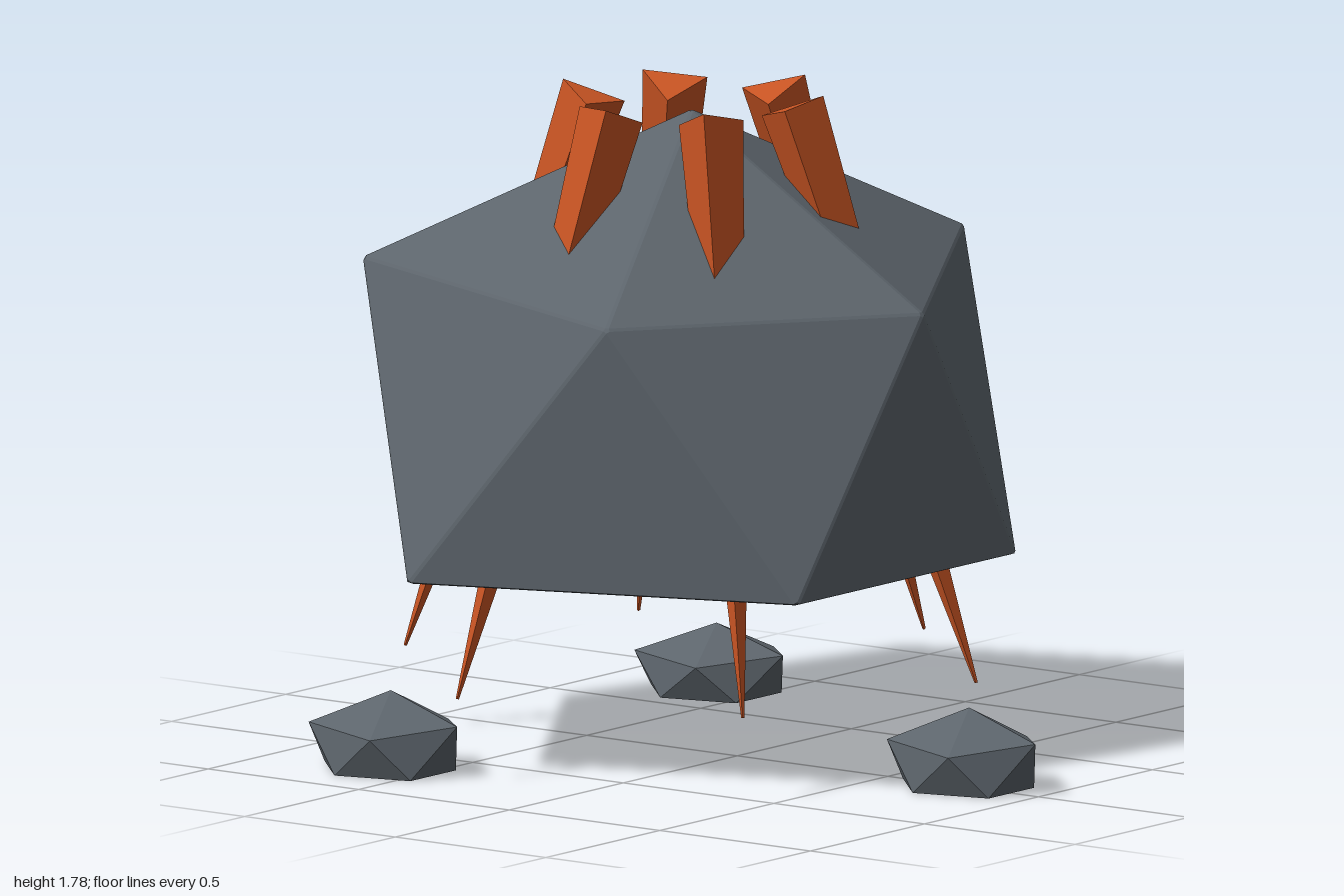
import * as THREE from 'three';
import { ConvexGeometry } from 'three/addons/geometries/ConvexGeometry.js';

const V = (x, y, z) => new THREE.Vector3(x, y, z);

// Stone with an apex, an upper and a lower ring of five; edges get a slight bevel
function stoneGeometry(apex, upper, lower, bevel) {
  const faces = [lower];
  for (let i = 0; i < 5; i++) {
    const j = (i + 1) % 5;
    faces.push([apex, upper[i], upper[j]], [upper[i], lower[i], upper[j]], [lower[i], upper[j], lower[j]]);
  }
  const points = [];
  for (const face of faces) {
    const mid = V(0, 0, 0);
    face.forEach((p) => mid.addScaledVector(p, 1 / face.length));
    face.forEach((p) => points.push(p.clone().lerp(mid, bevel)));
  }
  return new ConvexGeometry(bevel > 0 ? points : [apex, ...upper, ...lower]);
}

export function createModel() {
  const model = new THREE.Group();
  model.name = 'crystalRock';
  const stone = new THREE.MeshStandardMaterial({ color: 0x5c646b, flatShading: true });
  stone.name = 'slateGrey';
  const ember = new THREE.MeshStandardMaterial({ color: 0xc85423, flatShading: true });
  ember.name = 'burntOrange';

  const add = (name, geometry, material) => {
    const mesh = new THREE.Mesh(geometry, material);
    mesh.name = name;
    model.add(mesh);
    return mesh;
  };

  // Main boulder with a flat underside
  const upper = [V(0.61, 1.25, 0), V(0.09, 1.25, 0.69), V(-0.87, 1.31, 0.48), V(-0.87, 1.31, -0.48), V(0.13, 1.32, -0.81)];
  const lower = [V(0.56, 0.535, 0.48), V(-0.45, 0.535, 0.84), V(-1, 0.535, 0), V(-0.43, 0.535, -0.75), V(0.56, 0.535, -0.47)];
  const centre = V(-0.16, 0.535, 0);
  [...upper, ...lower].forEach((p) => p.sub(centre).multiplyScalar(1.01).add(centre));
  add('boulder', stoneGeometry(V(-0.15, 1.725, 0), upper, lower, 0.02), stone);

  // Three-sided shard, its lower end leaning outward; placed by one end
  const up = V(0, 1, 0);
  const shard = (name, rTop, rBottom, length, angle, radius, y, fromTop) => {
    const geometry = new THREE.CylinderGeometry(rTop, rBottom, length, 3, 1, false, -Math.PI / 2);
    geometry.translate(0, fromTop ? -length / 2 : length / 2, 0);
    const mesh = add(name, geometry, ember);
    const tilt = 0.34, c = Math.cos(angle), s = Math.sin(angle);
    mesh.quaternion.setFromUnitVectors(up, V(-c * Math.sin(tilt), Math.cos(tilt), -s * Math.sin(tilt)));
    mesh.position.set(-0.155 + c * radius, y, s * radius);
  };

  // Rings of crown crystals and thin leg spikes
  for (let i = 0; i < 6; i++) {
    const angle = THREE.MathUtils.degToRad(43 + 60 * i);
    shard('crownCrystal', 0.1, 0.07, 0.5, angle, 0.28, 1.745, true);
    shard('legSpike', 0.045, 0.005, 0.5, angle, 0.805, 0.23, false);
  }

  // Small stones around the base
  const pebble = stoneGeometry(V(0, 0.215, 0),
    [V(0.22, 0.14, 0), V(0.06, 0.11, 0.172), V(-0.19, 0.125, 0.11), V(-0.19, 0.125, -0.11), V(0.06, 0.12, -0.172)],
    [V(0.14, 0, 0.1), V(-0.07, 0, 0.155), V(-0.22, 0, 0), V(-0.07, 0, -0.155), V(0.14, 0, -0.1)], 0);
  for (const [x, z, height] of [[0.77, 0, 1], [-0.605, 0.72, 1], [-0.61, -0.715, 0.87]]) {
    const mesh = add('smallStone', pebble, stone);
    mesh.position.set(x, 0, z);
    mesh.scale.y = height;
  }
  return model;
}
